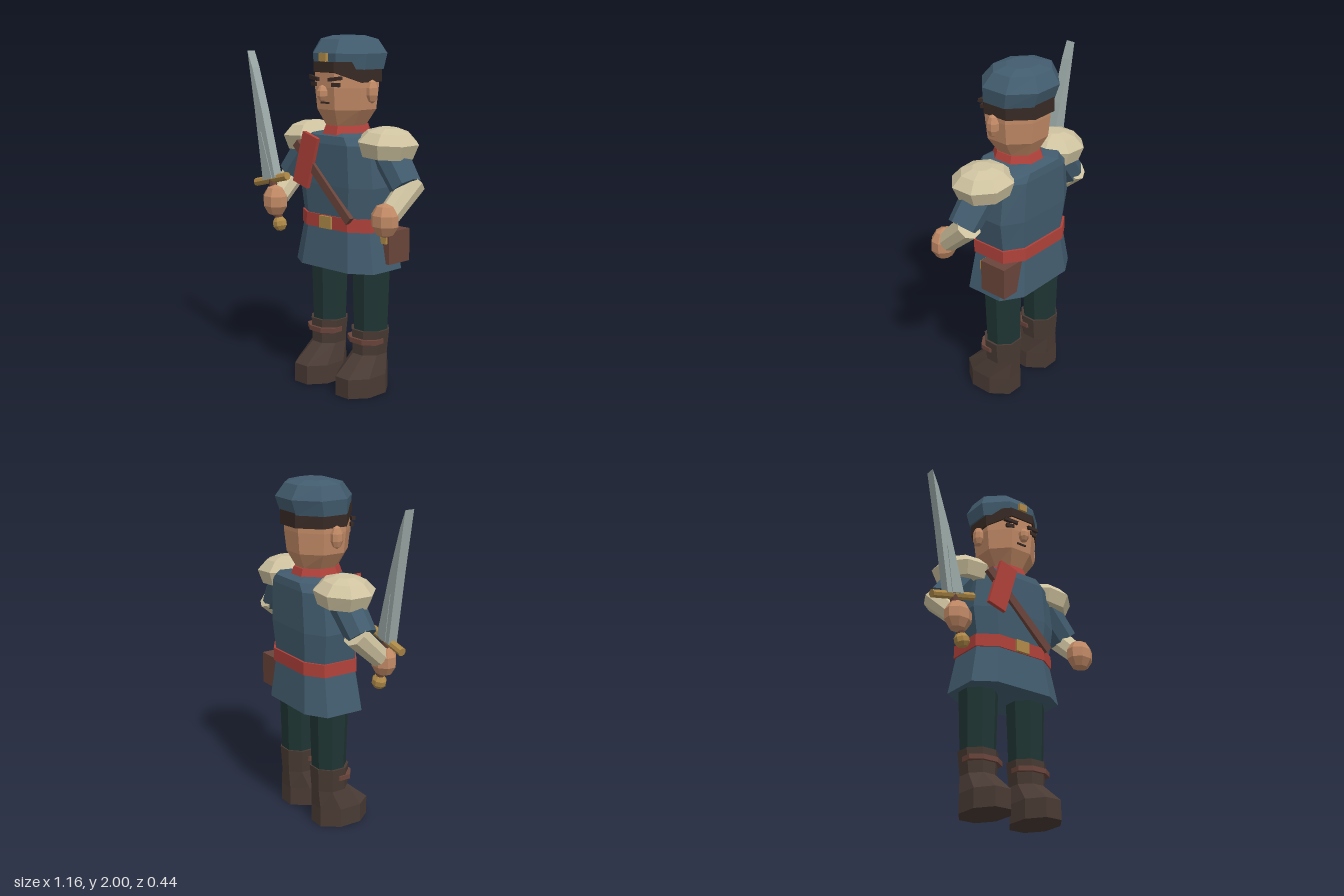
import * as THREE from 'three';

const flat = (name, color) => {
  const m = new THREE.MeshStandardMaterial({ color, flatShading: true });
  m.name = name;
  return m;
};
const blue = flat('blue cloth', 0x425c6e), skin = flat('skin', 0xc28a66), hairMat = flat('dark hair', 0x382a25);
const red = flat('red cloth', 0xb0413a), green = flat('dark green cloth', 0x1f3533), bootMat = flat('boot leather', 0x493a34);
const leather = flat('brown leather', 0x6a453b), tan = flat('tan padding', 0xcfc3a0);
const gold = flat('brass', 0xb08a48), steel = flat('steel', 0x9caaa8);

// Loft of eight-sided rings [y, rx, rz, cz, cx]; k is the flat share of each side
function loft(rings, k = 0.414) {
  const section = [[1, k], [k, 1], [-k, 1], [-1, k], [-1, -k], [-k, -1], [k, -1], [1, -k]];
  const pos = [], idx = [], n = 8;
  for (const [y, rx, rz, cz = 0, cx = 0] of rings)
    for (const [x, z] of section) pos.push(cx + x * rx, y, cz + z * rz);
  for (let i = 0; i < rings.length - 1; i++)
    for (let j = 0; j < n; j++) {
      const a = i * n + j, b = i * n + (j + 1) % n;
      idx.push(a, a + n, b, b, a + n, b + n);
    }
  const top = (rings.length - 1) * n;
  for (let j = 1; j < n - 1; j++) idx.push(0, j, j + 1, top, top + j + 1, top + j);
  const g = new THREE.BufferGeometry();
  g.setAttribute('position', new THREE.Float32BufferAttribute(pos, 3));
  g.setIndex(idx);
  g.computeVertexNormals();
  return g;
}

function add(parent, name, geo, mat, x = 0, y = 0, z = 0, rz = 0, ry = 0) {
  const m = new THREE.Mesh(geo, mat);
  m.name = name;
  m.position.set(x, y, z);
  m.rotation.set(0, ry, rz);
  parent.add(m);
  return m;
}
const box = (w, h, d) => new THREE.BoxGeometry(w, h, d);
const ball = (rx, ry, rz) => new THREE.SphereGeometry(1, 8, 5).rotateY(Math.PI / 8).scale(rx * 1.06, ry, rz * 1.06);

// Tapered cylinder between two points
function limb(parent, name, a, b, ra, rb, mat) {
  const p = new THREE.Vector3(...a), q = new THREE.Vector3(...b), d = q.clone().sub(p);
  const m = add(parent, name, new THREE.CylinderGeometry(rb, ra, d.length(), 8), mat);
  m.position.copy(p).add(q).multiplyScalar(0.5);
  m.quaternion.setFromUnitVectors(new THREE.Vector3(0, 1, 0), d.normalize());
}

function buildHead(body) {
  const head = new THREE.Group();
  head.name = 'head';
  body.add(head);
  add(head, 'neck', loft([[1.42, 0.09, 0.09], [1.54, 0.09, 0.09]]), skin);
  add(head, 'skull', loft([[1.51, 0.105, 0.115], [1.6, 0.165, 0.16], [1.72, 0.178, 0.172], [1.86, 0.178, 0.172]]), skin);
  // Hair hangs lower at the sides and back than over the brow
  const hair = loft([[1.75, 0.188, 0.186, -0.008], [1.86, 0.19, 0.186, -0.008]]);
  const p = hair.attributes.position;
  for (let i = 0; i < 8; i++) if (p.getZ(i) > 0.12) p.setY(i, 1.805);
  add(head, 'hair', hair, hairMat);
  add(head, 'cap', loft([[1.82, 0.2, 0.178, -0.012], [1.905, 0.21, 0.196, -0.024],
    [1.98, 0.165, 0.145, -0.03, -0.01], [2, 0.09, 0.08, -0.03, -0.01]]), blue);
  add(head, 'capBadge', box(0.055, 0.045, 0.03), gold, 0, 1.885, 0.174);
  add(head, 'nose', ball(0.03, 0.046, 0.03), skin, 0, 1.69, 0.188);
  add(head, 'mouth', box(0.062, 0.01, 0.008), hairMat, 0, 1.638, 0.167);
  for (const s of [-1, 1]) {
    add(head, 'ear', ball(0.03, 0.065, 0.037), skin, s * 0.196, 1.7, 0);
    add(head, 'eye', box(0.05, 0.022, 0.016), hairMat, s * 0.084, 1.738, 0.167, 0, s * 0.2);
    add(head, 'eyebrow', box(0.085, 0.02, 0.02), hairMat, s * 0.08, 1.77, 0.17, s * 0.13, s * 0.2);
  }
}

function buildTorso(body) {
  add(body, 'tunic', loft([[0.71, 0.305, 0.192, -0.015], [0.95, 0.258, 0.168, -0.018], [1.01, 0.258, 0.168, -0.018],
    [1.18, 0.285, 0.178, -0.02], [1.41, 0.26, 0.178, -0.022], [1.455, 0.2, 0.17, -0.025], [1.47, 0.13, 0.12, -0.01]], 0.6), blue);
  add(body, 'collar', loft([[1.44, 0.14, 0.145, -0.005], [1.51, 0.112, 0.122, -0.005]]), red);
  add(body, 'belt', loft([[0.935, 0.27, 0.178, -0.02], [1.01, 0.268, 0.178, -0.02]], 0.6), red);
  add(body, 'buckle', box(0.09, 0.07, 0.02), gold, 0, 0.972, 0.162);
  add(body, 'chestStrap', box(0.58, 0.05, 0.03), leather, -0.025, 1.2, 0.162, -0.76);
  add(body, 'scarfEnd', box(0.12, 0.3, 0.024), red, -0.147, 1.31, 0.172, -0.29);
  add(body, 'pouch', box(0.15, 0.185, 0.17), leather, 0.245, 0.843, -0.095);
  add(body, 'pouchClasp', box(0.05, 0.055, 0.018), gold, 0.285, 0.895, -0.003);
}

function buildLimbs(body) {
  for (const s of [-1, 1]) {
    const leg = new THREE.Group();
    leg.name = s > 0 ? 'leftLeg' : 'rightLeg';
    leg.position.x = s * 0.165;
    body.add(leg);
    add(leg, 'trouserLeg', loft([[0.3, 0.092, 0.092, -0.03], [0.74, 0.106, 0.104, -0.03]]), green);
    add(leg, 'boot', loft([[0, 0.122, 0.163, 0.042, s * 0.003], [0.11, 0.12, 0.163, 0.042, s * 0.003],
      [0.22, 0.093, 0.1, -0.025], [0.36, 0.107, 0.105, -0.027]]), bootMat);
    add(leg, 'bootStrap', loft([[0.287, 0.109, 0.08, 0.013], [0.315, 0.11, 0.08, 0.013]]), leather);

    const arm = new THREE.Group();
    arm.name = s > 0 ? 'leftArm' : 'rightArm';
    body.add(arm);
    limb(arm, 'sleeve', [s * 0.27, 1.42, -0.025], [s * 0.445, 1.2, -0.005], 0.1, 0.088, blue);
    limb(arm, 'forearm', [s * 0.452, 1.225, -0.055], [s * 0.437, 1.065, 0.12], 0.072, 0.062, tan);
    add(arm, 'hand', ball(0.08, 0.095, 0.066), skin, s * 0.435, 1.04, 0.153);
    add(arm, 'shoulderPad', loft([[-0.075, 0.138, 0.135], [0.005, 0.166, 0.16], [0.06, 0.115, 0.11], [0.083, 0.05, 0.05]]),
      tan, s * 0.297, 1.428, -0.018, s * -0.06);
  }
}

function buildSword(body) {
  const sword = new THREE.Group();
  sword.name = 'sword';
  sword.position.set(-0.435, 1.04, 0.148);
  sword.rotation.z = 0.235;
  body.add(sword);
  const outline = [[-0.055, 0.13], [0.055, 0.13], [0.04, 0.53], [0.02, 0.786], [0.002, 0.889], [-0.02, 0.545]];
  const shape = new THREE.Shape(outline.map(([x, y]) => new THREE.Vector2(x, y)));
  const blade = new THREE.ExtrudeGeometry(shape, { depth: 0.056, bevelEnabled: false }).translate(0, 0, -0.028);
  add(sword, 'blade', blade, steel);
  // Raised tapering ridge on both faces of the blade
  const ridge = new THREE.Shape([new THREE.Vector2(-0.025, 0.13), new THREE.Vector2(0.03, 0.13), new THREE.Vector2(0.002, 0.41)]);
  const ridgeGeo = new THREE.ExtrudeGeometry(ridge, { depth: 0.064, bevelEnabled: false }).translate(0, 0, -0.032);
  add(sword, 'bladeRidge', ridgeGeo, steel);
  add(sword, 'crossguard', new THREE.CylinderGeometry(0.024, 0.024, 0.28, 8), gold, -0.005, 0.127, 0, Math.PI / 2);
  add(sword, 'grip', new THREE.CylinderGeometry(0.024, 0.024, 0.25, 8), leather, 0, 0.01, 0);
  add(sword, 'pommel', ball(0.045, 0.045, 0.04), gold, 0, -0.138, 0);
}

export function createModel() {
  const model = new THREE.Group();
  model.name = 'swordsman';
  const body = new THREE.Group();
  body.name = 'body';
  body.position.x = 0.062;
  model.add(body);
  buildHead(body);
  buildTorso(body);
  buildLimbs(body);
  buildSword(body);
  return model;
}
